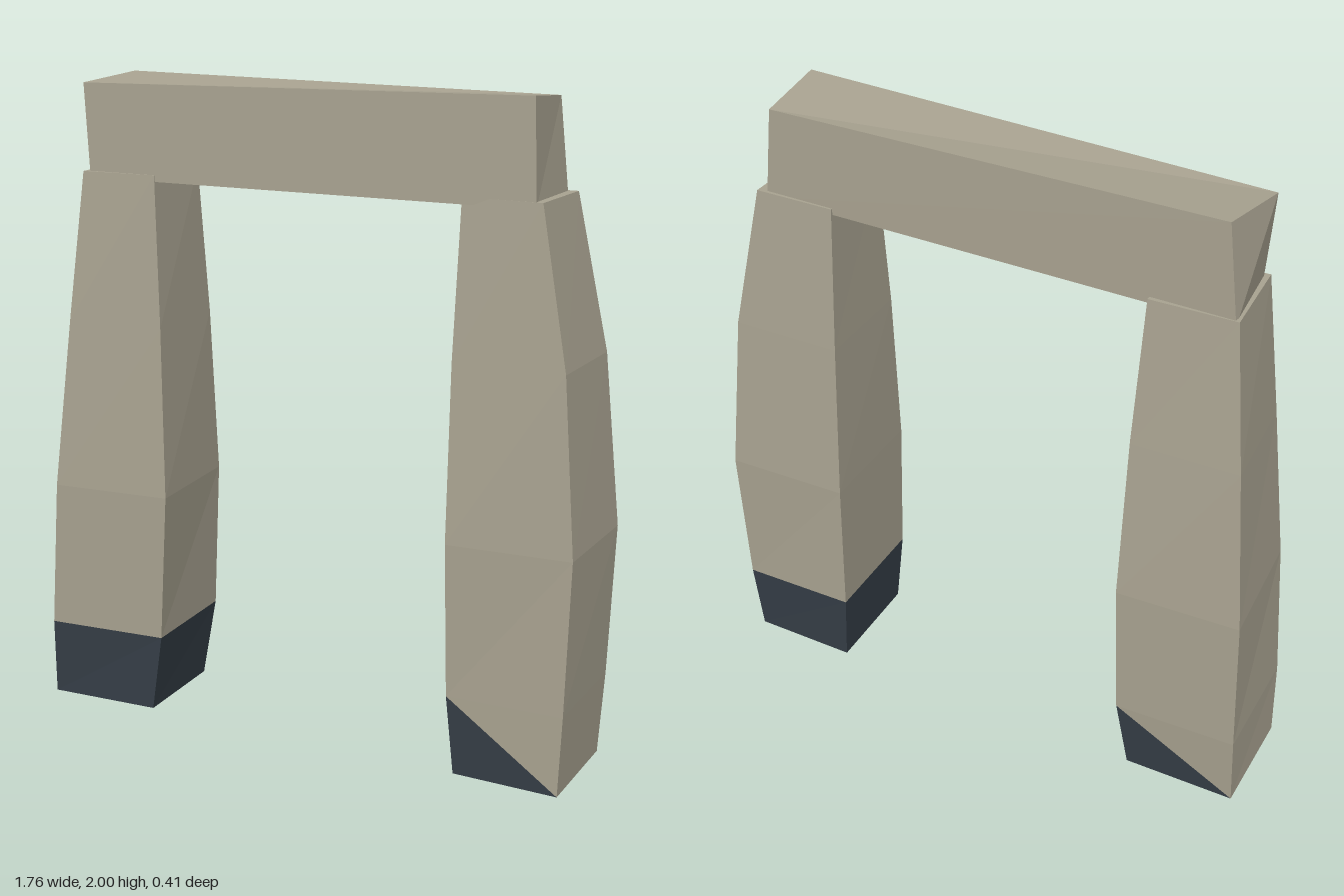
import * as THREE from 'three';

const stone = new THREE.MeshStandardMaterial({ color: 0xa9a391, flatShading: true });
stone.name = 'stone';
const darkStone = new THREE.MeshStandardMaterial({ color: 0x363f48, flatShading: true });
darkStone.name = 'dark base';

// Skins four-cornered rings from bottom to top. With a painted base, the lowest
// band has one side split diagonally, one side plain and two sides dark.
function hewnBlock(name, rings, paintedBase) {
  const plain = [], dark = [];
  const tri = (list, ...corners) => corners.forEach((c) => list.push(...c));
  const quad = (list, a, b, c, d) => { tri(list, a, b, c); tri(list, a, c, d); };
  for (let r = 0; r < rings.length - 1; r++) {
    for (let i = 0; i < 4; i++) {
      const j = (i + 1) % 4;
      const a = rings[r][i], b = rings[r][j], c = rings[r + 1][j], d = rings[r + 1][i];
      if (paintedBase && r === 0 && i === 0) {
        tri(dark, a, b, d);
        tri(plain, b, c, d);
      } else {
        quad(paintedBase && r === 0 && i > 1 ? dark : plain, a, b, c, d);
      }
    }
  }
  const first = rings[0], last = rings[rings.length - 1];
  quad(plain, ...last);
  quad(paintedBase ? dark : plain, first[3], first[2], first[1], first[0]);

  const geometry = new THREE.BufferGeometry();
  geometry.setAttribute('position', new THREE.Float32BufferAttribute([...plain, ...dark], 3));
  geometry.addGroup(0, plain.length / 3, 0);
  if (dark.length) geometry.addGroup(plain.length / 3, dark.length / 3, 1);
  geometry.computeVertexNormals();
  const mesh = new THREE.Mesh(geometry, [stone, darkStone]);
  mesh.name = name;
  return mesh;
}

// Each leg level: height, then x, z of the four corners
const levels = (rows) => rows.map(([y, ...p]) =>
  [0, 2, 4, 6].map((k) => [p[k], y, p[k + 1]]));

export function createModel() {
  const group = new THREE.Group();
  group.name = 'stoneArch';

  // Inner front, outer front, outer back, inner back
  const leftLeg = levels([
    [0, 0.52, 0.17, 0.85, 0.18, 0.855, -0.17, 0.52, -0.17],
    [0.25, 0.5, 0.185, 0.86, 0.18, 0.865, -0.193, 0.5, -0.185],
    [0.72, 0.49, 0.19, 0.87, 0.172, 0.88, -0.203, 0.49, -0.19],
    [1.25, 0.488, 0.16, 0.825, 0.155, 0.835, -0.172, 0.49, -0.165],
    [1.715, 0.495, 0.125, 0.735, 0.13, 0.745, -0.135, 0.495, -0.13],
  ]);
  // Inner back, outer back, outer front, inner front
  const rightLeg = levels([
    [0, -0.53, -0.17, -0.885, -0.165, -0.885, 0.18, -0.525, 0.165],
    [0.25, -0.495, -0.195, -0.88, -0.18, -0.875, 0.198, -0.485, 0.17],
    [0.72, -0.48, -0.205, -0.865, -0.185, -0.84, 0.203, -0.455, 0.175],
    [1.25, -0.485, -0.17, -0.815, -0.16, -0.79, 0.17, -0.475, 0.15],
    [1.715, -0.5, -0.135, -0.76, -0.125, -0.745, 0.135, -0.5, 0.125],
  ]);
  group.add(hewnBlock('leftLeg', leftLeg, true), hewnBlock('rightLeg', rightLeg, true));

  // Slightly twisted beam across the legs
  group.add(hewnBlock('lintel', [
    [[-0.728, 1.695, 0.122], [0.715, 1.695, 0.128], [0.718, 1.695, -0.125], [-0.75, 1.695, -0.122]],
    [[-0.75, 1.98, 0.112], [0.7, 2, 0.117], [0.688, 1.982, -0.122], [-0.712, 2, -0.12]],
  ], false));
  return group;
}
